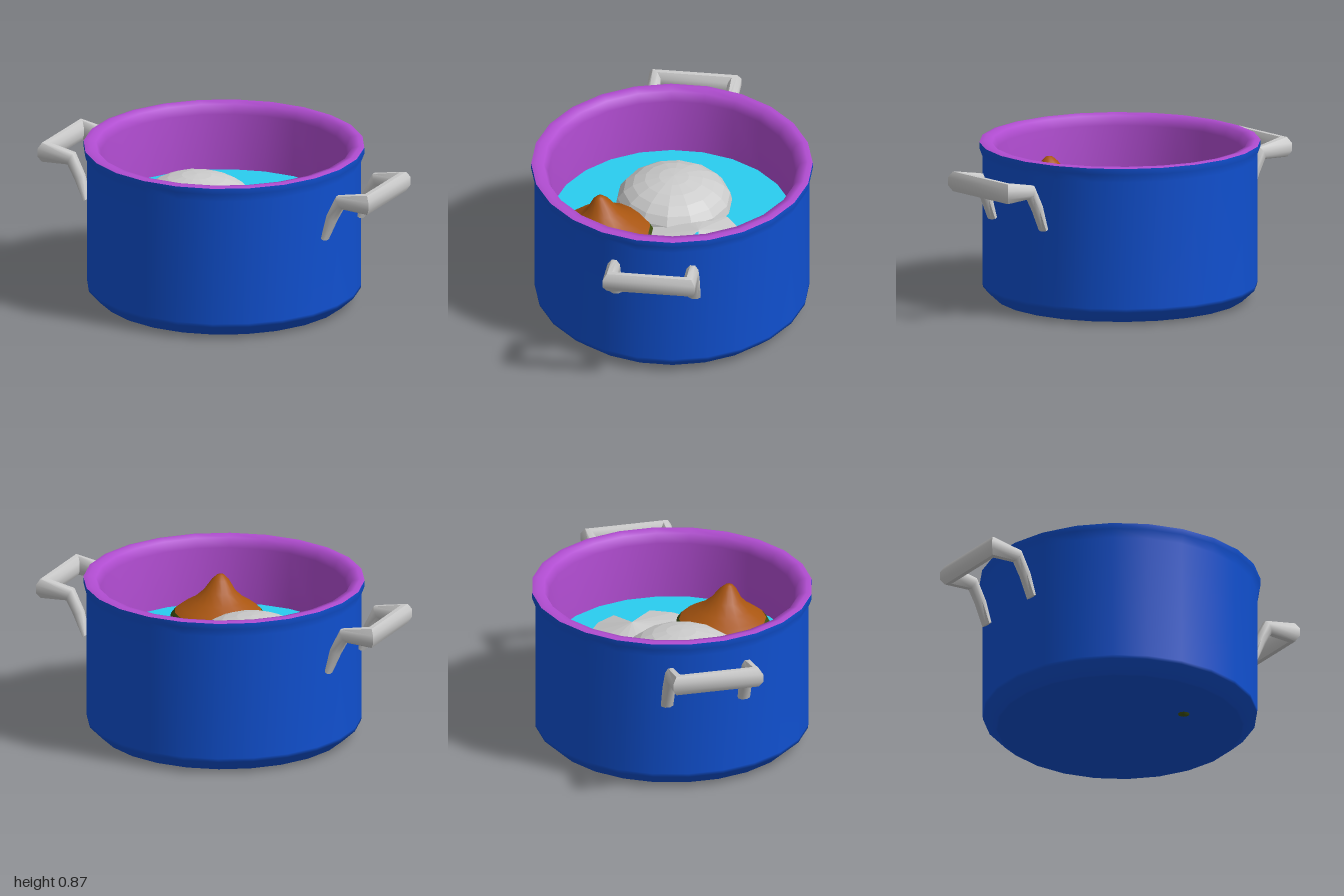
import * as THREE from 'three';
import { toCreasedNormals } from 'three/addons/utils/BufferGeometryUtils.js';

const SIDES = 24;

function mesh(name, geometry, color, options = {}) {
  const m = new THREE.Mesh(geometry, new THREE.MeshStandardMaterial({ color, ...options }));
  m.name = name;
  return m;
}

// Turned part with the flats facing the axes
function turned(points, sides = SIDES) {
  return new THREE.LatheGeometry(points.map(([r, y]) => new THREE.Vector2(r, y)), sides, Math.PI / sides);
}

// Octagonal bar through stations { p: centre, a: sideways half-size, b: vertical half-size }
function sweptBar(stations) {
  const n = 8, grow = 1 / Math.cos(Math.PI / n);
  const pos = [], index = [];
  stations.forEach(({ p, a, b }, i) => {
    for (let j = 0; j < n; j++) {
      const t = ((j + 0.5) / n) * Math.PI * 2;
      const c = Math.cos(t) * grow, s = Math.sin(t) * grow;
      for (let k = 0; k < 3; k++) pos.push(p[k] + a[k] * c + b[k] * s);
      if (i === 0) continue;
      const k = (j + 1) % n, u = (i - 1) * n, v = i * n;
      index.push(u + j, u + k, v + k, u + j, v + k, v + j);
    }
  });
  const g = new THREE.BufferGeometry();
  g.setAttribute('position', new THREE.Float32BufferAttribute(pos, 3));
  g.setIndex(index);
  return toCreasedNormals(g, 0.85);
}

function handleGeometry() {
  const half = [
    { p: [0.72, 0.505, 0.213], a: [0, 0, 0], b: [0, 0, 0] },
    { p: [0.72, 0.505, 0.213], a: [0, 0, 0.033], b: [0.016, -0.008, 0] },
    { p: [0.762, 0.625, 0.213], a: [0, 0, 0.033], b: [0.027, -0.012, 0] },
    { p: [0.812, 0.722, 0.213], a: [0, 0, 0.033], b: [0.018, -0.034, 0] },
    { p: [0.97, 0.735, 0.215], a: [0.03, 0, 0.034], b: [0, -0.054, 0] },
  ];
  const flip = ([x, y, z]) => [x, y, -z];
  const other = half.map(({ p, a, b }) => ({ p: flip(p), a: flip(a), b })).reverse();
  return sweptBar([...half, ...other]);
}

export function createModel() {
  const model = new THREE.Group();
  model.name = 'cookingPot';

  // Outer shell, with chamfered foot and flared lip
  model.add(mesh('potShell', turned([
    [0, 0.004], [0.66, 0.004], [0.67, 0.008], [0.738, 0.07], [0.74, 0.09],
    [0.74, 0.785], [0.757, 0.83], [0.757, 0.863],
  ]), 0x1050d0));

  // Rim and inner wall
  model.add(mesh('potLining', turned([
    [0.757, 0.863], [0.73, 0.87], [0.69, 0.86], [0.665, 0.81], [0.655, 0.48],
  ]), 0xb04cd0));

  // Broth surface
  const broth = mesh('broth', new THREE.CircleGeometry(0.66, SIDES, Math.PI / SIDES), 0x2acdf0);
  broth.rotation.x = -Math.PI / 2;
  broth.position.y = 0.5;
  model.add(broth);

  // Side handles
  const handle = handleGeometry();
  for (const [name, turn] of [['leftHandle', 0], ['rightHandle', Math.PI]]) {
    const h = mesh(name, handle, 0xcccccc);
    h.rotation.y = turn;
    model.add(h);
  }

  // Round faceted vegetable floating in the broth
  const dumpling = mesh('roundVegetable', new THREE.SphereGeometry(0.315, 14, 12), 0xcccccc, { flatShading: true });
  dumpling.scale.y = 0.55;
  dumpling.position.set(-0.16, 0.5, 0.01);
  model.add(dumpling);

  // Shallow notched leaf, its peak set off centre
  const deg = Math.PI / 180;
  const leafGeo = new THREE.ConeGeometry(0.32, 0.08, 14, 1, true, 112 * deg, 323 * deg);
  const lp = leafGeo.attributes.position;
  for (let i = 0; i < lp.count; i++) {
    if (lp.getY(i) > 0) lp.setXYZ(i, 0.02, lp.getY(i), -0.09);
  }
  const leaf = mesh('notchedLeaf', leafGeo, 0xcccccc, { flatShading: true, side: THREE.DoubleSide });
  leaf.position.set(0.18, 0.54, -0.08);
  model.add(leaf);

  // Pointed root: orange crown over a green tapering body
  const root = new THREE.Group();
  root.name = 'pointedRoot';
  const crownGeo = turned([
    [0.235, 0.55], [0.2, 0.575], [0.14, 0.61], [0.085, 0.66], [0.045, 0.72], [0.02, 0.743], [0, 0.747],
  ], 16);
  const bodyGeo = turned([
    [0, 0], [0.03, 0.002], [0.1, 0.2], [0.2, 0.4], [0.25, 0.48], [0.26, 0.515], [0.235, 0.55],
  ], 16);
  // The tip leans slightly forward
  const cp = crownGeo.attributes.position;
  for (let i = 0; i < cp.count; i++) {
    cp.setZ(i, cp.getZ(i) + 0.18 * (cp.getY(i) - 0.55));
  }
  crownGeo.computeVertexNormals();
  root.add(mesh('rootCrown', crownGeo, 0xa85510), mesh('rootBody', bodyGeo, 0x3f5010));
  root.position.set(0.19, 0, 0.33);
  model.add(root);

  return model;
}
